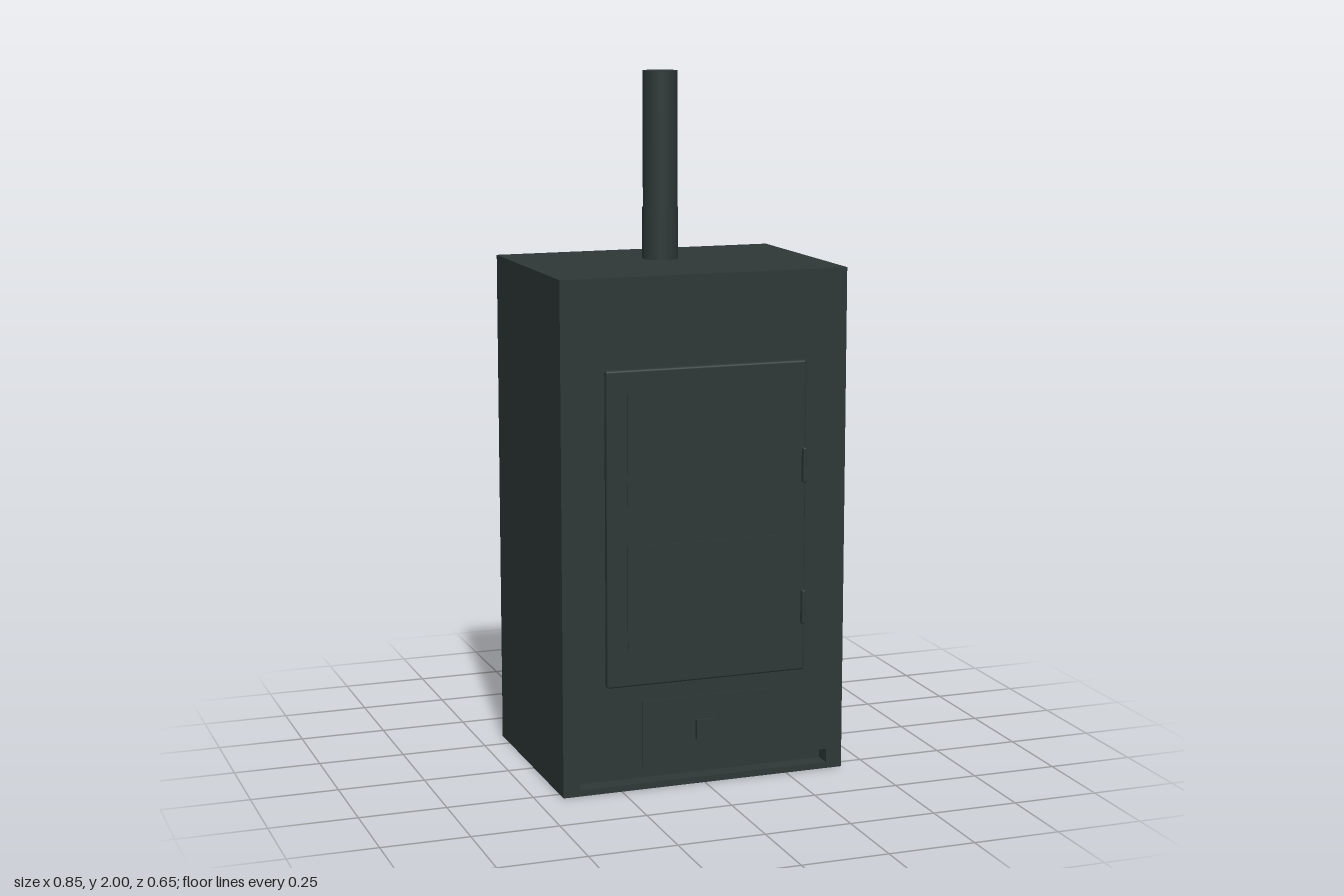
import * as THREE from 'three';
import { RoundedBoxGeometry } from 'three/addons/geometries/RoundedBoxGeometry.js';

export function createModel() {
  const stove = new THREE.Group();
  stove.name = 'stove';
  const iron = new THREE.MeshStandardMaterial({ color: 0x2e3737 });
  iron.name = 'darkIron';

  const add = (name, geometry, x = 0, y = 0, z = 0) => {
    const mesh = new THREE.Mesh(geometry, iron);
    mesh.name = name;
    mesh.position.set(x, y, z);
    stove.add(mesh);
    return mesh;
  };

  // Block spanning two corners, with optional rounded edges
  const block = (name, [x0, y0, z0], [x1, y1, z1], radius = 0) => {
    const size = [x1 - x0, y1 - y0, z1 - z0];
    const geometry = radius
      ? new RoundedBoxGeometry(...size, 3, radius)
      : new THREE.BoxGeometry(...size);
    return add(name, geometry, (x0 + x1) / 2, (y0 + y1) / 2, (z0 + z1) / 2);
  };

  const back = -0.325, front = 0.288, halfWidth = 0.423, height = 1.462;

  // Cabinet with a low slot in the front and back
  const outline = new THREE.Shape([
    new THREE.Vector2(-halfWidth, 0), new THREE.Vector2(halfWidth, 0),
    new THREE.Vector2(halfWidth, height), new THREE.Vector2(-halfWidth, height),
  ]);
  outline.holes.push(new THREE.Path([
    new THREE.Vector2(-0.375, 0.018), new THREE.Vector2(-0.375, 0.058),
    new THREE.Vector2(0.375, 0.058), new THREE.Vector2(0.375, 0.018),
  ]));
  add('cabinet', new THREE.ExtrudeGeometry(outline, { depth: front - back, bevelEnabled: false }), 0, 0, back);
  // Wall that closes the slots part way in
  block('slotWall', [-0.375, 0.018, back + 0.05], [0.375, 0.058, front - 0.05]);

  // Door with two raised panels, each with a handle at its side
  block('door', [-0.298, 0.31, front - 0.002], [0.295, 1.208, 0.307], 0.006);
  for (const [low, high, grip] of [[0.83, 1.14, 0.91], [0.42, 0.712, 0.497]]) {
    block('doorPanel', [-0.238, low, 0.3], [0.237, high, 0.311]);
    block('doorHandle', [0.282, grip - 0.05, 0.3], [0.293, grip + 0.05, 0.321], 0.004);
  }

  // Ash drawer and its square knob
  block('ashDrawer', [-0.19, 0.068, front - 0.01], [0.188, 0.26, 0.292]);
  block('drawerKnob', [-0.03, 0.134, front], [0.03, 0.19, 0.301]);

  // Flue pipe standing in a slightly wider collar
  const pipeZ = -0.09;
  add('flueCollar', new THREE.CylinderGeometry(0.052, 0.052, 0.16, 40), 0, 1.53, pipeZ);
  add('fluePipe', new THREE.CylinderGeometry(0.05, 0.05, 0.55, 40), 0, 1.725, pipeZ);

  return stove;
}
